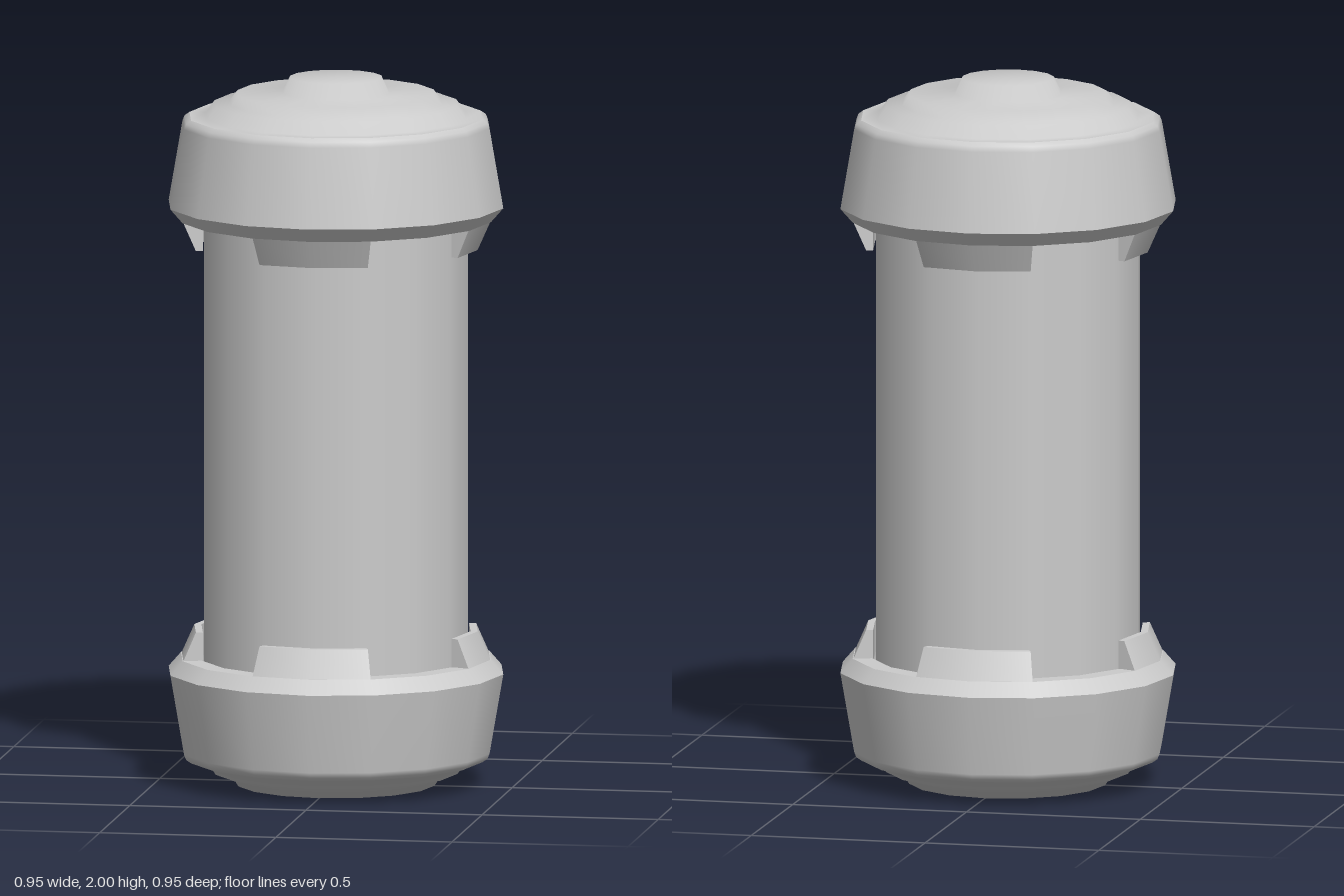
import * as THREE from 'three';

const SIDES = 16;
const MID = 0.98; // height about which the two end caps mirror
const STEP = (Math.PI * 2) / SIDES;
const material = new THREE.MeshStandardMaterial({ color: 0xcccccc });
const thin = new THREE.MeshStandardMaterial({ color: 0xcccccc, side: THREE.DoubleSide });

const toPoints = (list) => list.map(([r, y]) => new THREE.Vector2(r, y));

// Mirror a profile to the lower end, reversed so it still faces outward
const mirrored = (list) => list.map(([r, y]) => [r, Math.max(0, 2 * MID - y)]).reverse();

function ring(name, profile, sides = SIDES, start = 0, length = Math.PI * 2) {
  const mesh = new THREE.Mesh(new THREE.LatheGeometry(toPoints(profile), sides, start, length), material);
  mesh.name = name;
  return mesh;
}

// Profiles of the upper cap, split at its sharp edges, from inside underneath to the top
const inner = [[0.37, 1.66], [0.385, 1.66], [0.385, 1.6]];
const under = [[0.385, 1.6], [0.44, 1.6]];
const chamfer = [[0.44, 1.6], [0.475, 1.64]];
const wall = [[0.475, 1.64], [0.436, 1.865], [0.43, 1.88], [0.416, 1.89]];
const steps = [[0.416, 1.89], [0.37, 1.89], [0.345, 1.925], [0.3, 1.928], [0.28, 1.955], [0.15, 1.957]];
const topKnob = [[0.15, 1.957], [0.13, 2], [0, 2]];
const bottomSteps = [[0.416, 1.887], [0.37, 1.887], [0.345, 1.925], [0.3, 1.928], [0.28, 1.96], [0.15, 1.96]];
const bottomDimple = [[0.15, 1.96], [0.13, 1.915], [0, 1.915]];
const tab = [[0.382, 1.61], [0.382, 1.52], [0.402, 1.52], [0.44, 1.605]];

// Locking tab: two facets wide, with flat ends
function lockingTab(profile, angle) {
  const group = new THREE.Group();
  group.name = 'lockingTab';
  for (let i = 0; i < profile.length - 1; i++) {
    group.add(ring('tabFace', [profile[i], profile[i + 1]], 2, angle - STEP, STEP * 2));
  }
  for (const side of [-1, 1]) {
    const end = new THREE.Mesh(new THREE.ShapeGeometry(new THREE.Shape(toPoints(profile))), thin);
    end.name = 'tabEnd';
    end.rotation.y = angle + side * STEP - Math.PI / 2;
    group.add(end);
  }
  return group;
}

function endCap(name, parts, flip) {
  const group = new THREE.Group();
  group.name = name;
  const place = flip ? mirrored : (list) => list;
  for (const [part, profile] of Object.entries(parts)) group.add(ring(part, place(profile)));
  for (let i = 0; i < 4; i++) group.add(lockingTab(place(tab), (i * Math.PI) / 2));
  return group;
}

export function createModel() {
  const model = new THREE.Group();
  model.name = 'canister';
  model.add(ring('body', [[0.374, 0.28], [0.374, 1.68]]));
  const rim = { rimInside: inner, rimUnderside: under, rimChamfer: chamfer, rimWall: wall };
  model.add(endCap('topCap', { ...rim, steppedLid: [...steps, ...topKnob.slice(1)] }, false));
  model.add(endCap('bottomCap', { ...rim, steppedBase: [...bottomSteps, ...bottomDimple.slice(1)] }, true));
  return model;
}
